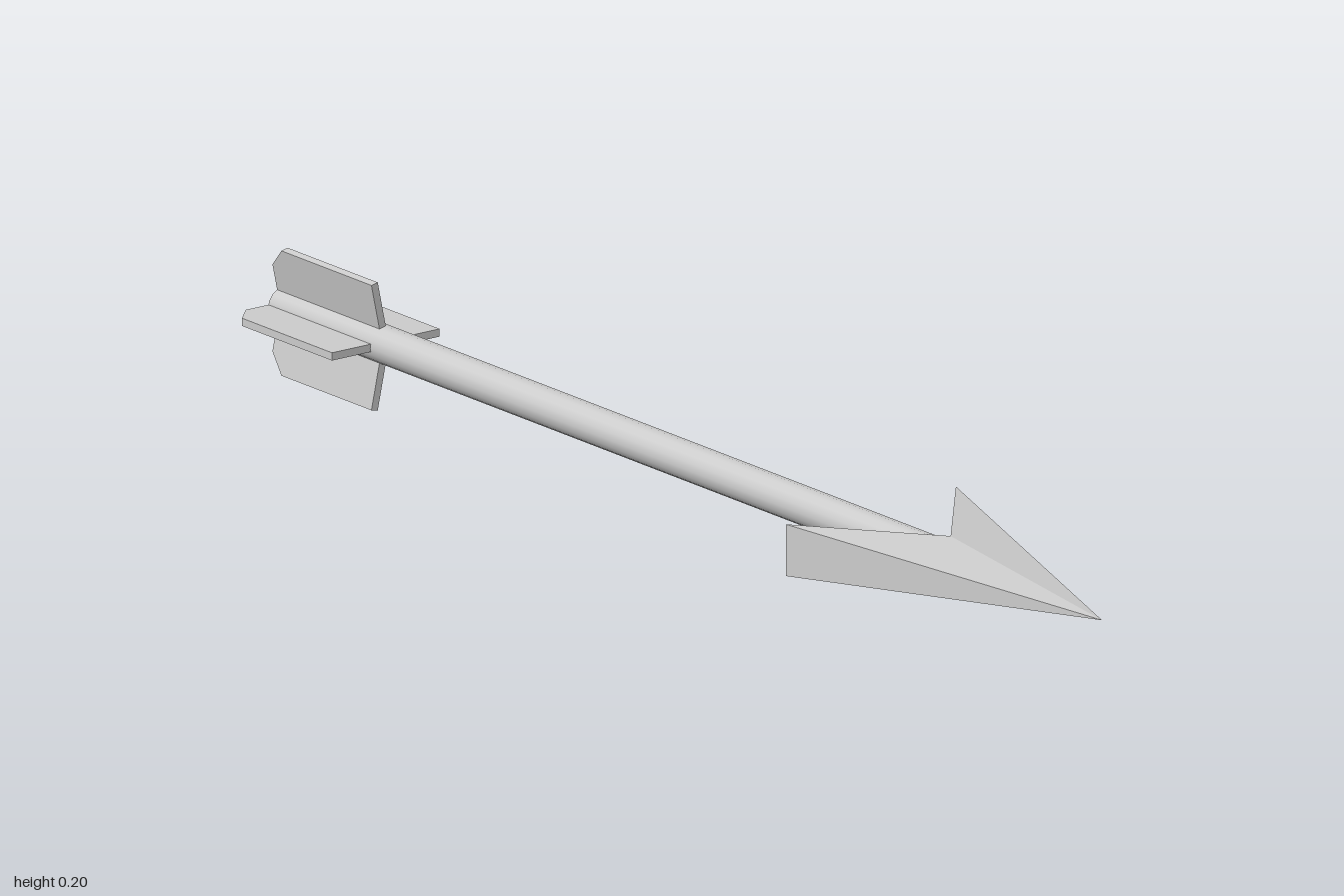
import * as THREE from 'three';

const AXIS_Y = 0.1; // height of the arrow's centre line

export function createModel() {
  const group = new THREE.Group();
  const smooth = new THREE.MeshStandardMaterial({ color: 0xcccccc });
  const flat = new THREE.MeshStandardMaterial({ color: 0xcccccc, flatShading: true });

  function add(name, geometry, material) {
    const mesh = new THREE.Mesh(geometry, material);
    mesh.name = name;
    mesh.position.y = AXIS_Y;
    group.add(mesh);
    return mesh;
  }

  // Round shaft lying along x
  const shaft = new THREE.CylinderGeometry(0.029, 0.029, 1.66, 16);
  shaft.rotateZ(-Math.PI / 2);
  shaft.translate(-0.17, 0, 0);
  add('shaft', shaft, smooth);

  // Barbed head: swept outline with top and bottom sloping to the point
  const heights = 0.04;
  const outline = [[0.435, 0.158], [0.63, 0], [0.435, -0.158]];
  const points = [1, 0, 0];
  for (const side of [1, -1]) {
    for (const [x, z] of outline) points.push(x, side * heights, z);
  }
  const head = new THREE.BufferGeometry();
  head.setAttribute('position', new THREE.Float32BufferAttribute(points, 3));
  head.setIndex([
    0, 2, 1, 0, 3, 2, // top
    0, 4, 5, 0, 5, 6, // bottom
    0, 1, 4, 0, 6, 3, // sides
    1, 2, 5, 1, 5, 4, // inner barb faces
    2, 3, 6, 2, 6, 5,
  ]);
  const headFlat = head.toNonIndexed();
  headFlat.computeVertexNormals();
  add('arrowhead', headFlat, flat);

  // Fletching: thin vanes with a clipped rear corner
  const vane = new THREE.Shape([
    [-1, 0], [-0.75, 0], [-0.75, 0.1], [-0.97, 0.1], [-1, 0.07],
  ].map(([x, y]) => new THREE.Vector2(x, y)));
  const thickness = 0.012;
  const vaneGeometry = new THREE.ExtrudeGeometry(vane, { depth: thickness, bevelEnabled: false });
  vaneGeometry.translate(0, 0, -thickness / 2);

  // Upper and lower vanes lean forward, the other two lie flat
  const lean = 0.21;
  const vanes = {
    topVane: lean,
    frontVane: Math.PI / 2,
    bottomVane: Math.PI - lean,
    backVane: -Math.PI / 2,
  };
  for (const [name, angle] of Object.entries(vanes)) {
    add(name, vaneGeometry, flat).rotation.x = angle;
  }

  return group;
}
